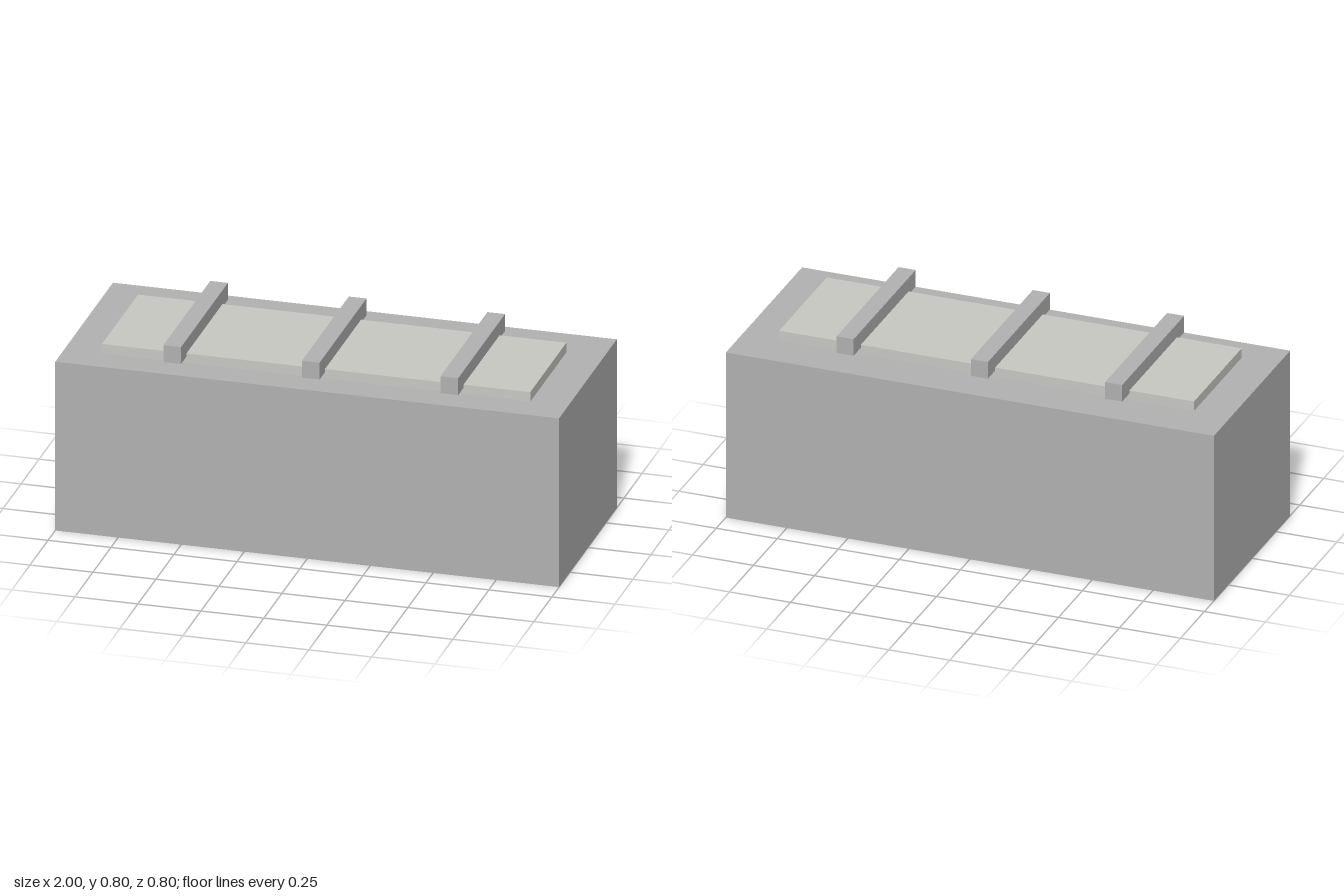
import * as THREE from 'three';

const grey = new THREE.MeshStandardMaterial({ name: 'grey', color: 0xb2b2b2 });
const paleGrey = new THREE.MeshStandardMaterial({ name: 'paleGrey', color: 0xc9c9c4 });

// Named box placed by its base height
function box(name, material, [w, h, d], [x, base, z]) {
  const mesh = new THREE.Mesh(new THREE.BoxGeometry(w, h, d), material);
  mesh.name = name;
  mesh.position.set(x, base + h / 2, z);
  return mesh;
}

export function createModel() {
  const model = new THREE.Group();
  model.name = 'slattedBlock';

  // Main block and the thin panel lying on it, set slightly forward
  model.add(box('body', grey, [2, 0.7, 0.8], [0, 0, 0]));
  model.add(box('topPanel', paleGrey, [1.7, 0.04, 0.5], [0, 0.7, 0.025]));

  // Three bars across the panel, sunk a little into it
  ['rightBar', 'middleBar', 'leftBar'].forEach((name, i) => {
    model.add(box(name, grey, [0.07, 0.07, 0.65], [(i - 1) * 0.55, 0.727, 0.025]));
  });

  return model;
}
